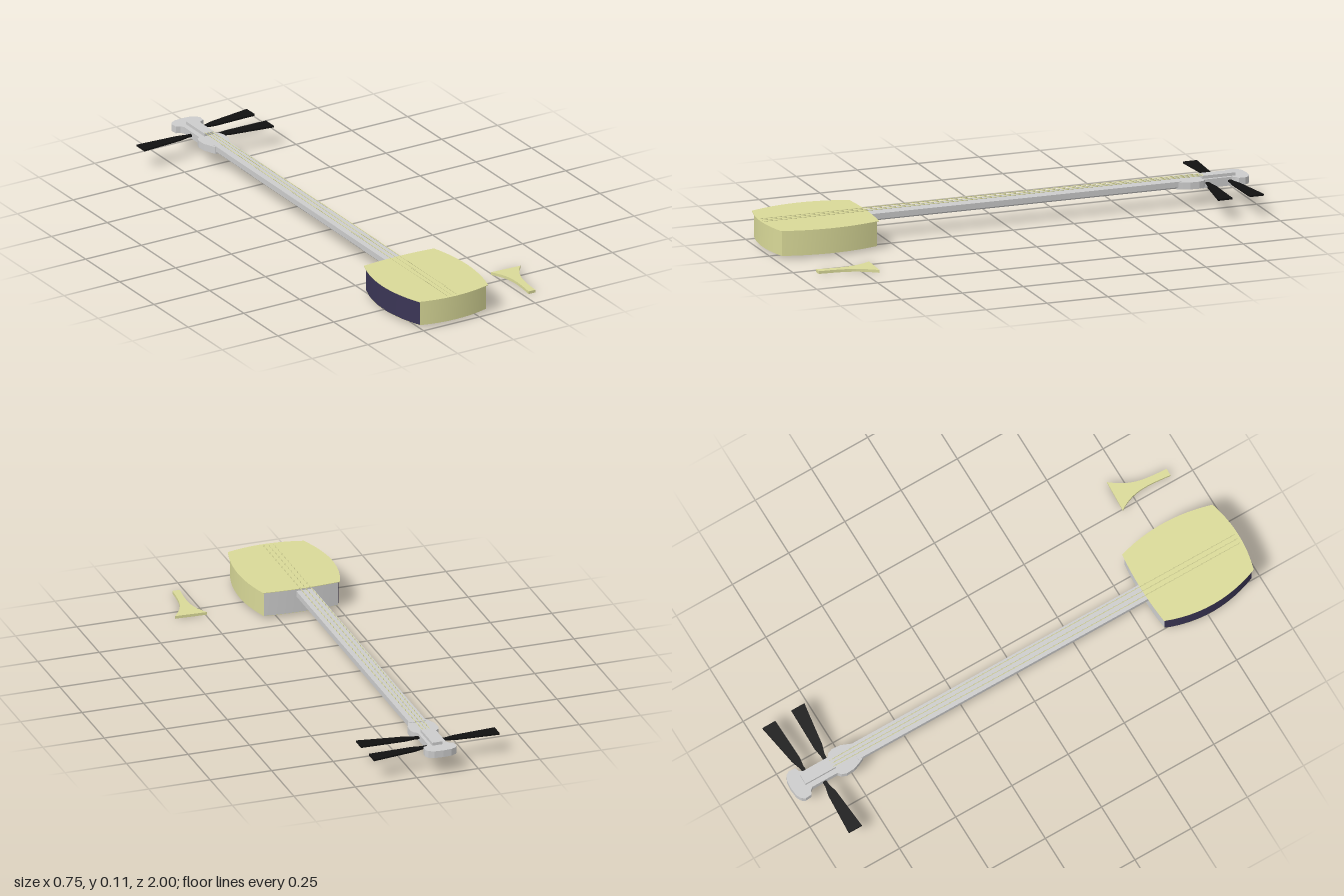
import * as THREE from 'three';

const material = (color) => new THREE.MeshStandardMaterial({ color, side: THREE.DoubleSide });
const grey = material(0xcccccc);
const khaki = material(0xd9d998);
const navy = material(0x3a3555);
const black = material(0x111111);

const CX = -0.108; // centre line of the neck

function add(group, name, geometry, mat) {
  const mesh = new THREE.Mesh(geometry, mat);
  mesh.name = name;
  group.add(mesh);
  return mesh;
}

// Plan outline in (x, z), extruded upward from y0 to y1
function slab(shape, y0, y1) {
  const geometry = new THREE.ExtrudeGeometry(shape, { depth: y1 - y0, bevelEnabled: false, curveSegments: 12 });
  return geometry.rotateX(-Math.PI / 2).translate(0, y0, 0);
}

const planShape = (points) => new THREE.Shape(points.map(([x, z]) => new THREE.Vector2(x, -z)));

// Outline of half widths [half, z], mirrored about the centre line
function mirrored(half, cx) {
  return planShape([
    ...half.map(([w, z]) => [cx + w, z]),
    ...half.slice().reverse().map(([w, z]) => [cx - w, z]),
  ]);
}

// The four bowed edges of the sound box, counterclockwise seen from above
function bodyEdges(grow) {
  const corners = [
    [-0.246 - grow, 0.967 + grow], [0.05 + grow, 0.967 + grow],
    [0.052 + grow, 0.578 - grow], [-0.25 - grow, 0.578 - grow],
  ];
  const controls = [[-0.1, 1.013 + grow], [0.112 + grow, 0.77], [-0.1, 0.56 - grow], [-0.327 - grow, 0.77]];
  const v = ([x, z]) => new THREE.Vector2(x, z);
  return corners.map((c, i) =>
    new THREE.QuadraticBezierCurve(v(c), v(controls[i]), v(corners[(i + 1) % 4])));
}

const outline = (edges) =>
  planShape(edges.flatMap((e) => e.getPoints(12).slice(0, 12).map((p) => [p.x, p.y])));

// Upright wall following one edge
function wall(curve, y0, y1) {
  const geometry = new THREE.PlaneGeometry(1, y1 - y0, 12, 1);
  const pos = geometry.attributes.position;
  for (let i = 0; i < pos.count; i++) {
    const p = curve.getPoint(pos.getX(i) + 0.5);
    pos.setXYZ(i, p.x, pos.getY(i) + (y0 + y1) / 2, p.y);
  }
  geometry.computeVertexNormals();
  return geometry;
}

function makeBody() {
  const body = new THREE.Group();
  body.name = 'soundBox';
  const edges = bodyEdges(0);
  const names = ['frontWall', 'leftWall', 'neckWall', 'rightWall'];
  const colors = [khaki, khaki, grey, navy];
  edges.forEach((edge, i) => add(body, names[i], wall(edge, 0.011, 0.11), colors[i]));
  add(body, 'backSkin', slab(outline(edges), 0.01, 0.012), khaki);
  add(body, 'frontSkin', slab(outline(bodyEdges(0.006)), 0.109, 0.111), khaki);
  return body;
}

function makeNeck() {
  const neck = new THREE.Group();
  neck.name = 'neck';

  // Shaft: squared section with softened lower corners
  const section = new THREE.Shape([
    [-0.034, 0.1], [-0.034, 0.078], [-0.028, 0.072], [0.028, 0.072], [0.034, 0.078], [0.034, 0.1],
  ].map(([x, y]) => new THREE.Vector2(x, y)));
  const shaft = new THREE.ExtrudeGeometry(section, { depth: 1.3, bevelEnabled: false });
  shaft.translate(0, 0, -0.72);
  // Slight lean sideways along the length
  const pos = shaft.attributes.position;
  for (let i = 0; i < pos.count; i++) pos.setX(i, pos.getX(i) + CX - 0.004 * pos.getZ(i));
  add(neck, 'shaft', shaft, grey);

  // Head plate: rounded shoulders, slim waist, flared crown
  const half = [
    [0.034, -0.7], [0.044, -0.722], [0.055, -0.75], [0.057, -0.785], [0.05, -0.805], [0.037, -0.815],
    [0.037, -0.925], [0.045, -0.938], [0.062, -0.945], [0.064, -0.972], [0.055, -0.987],
    [0.035, -0.997], [0, -1],
  ];
  add(neck, 'head', slab(mirrored(half, CX), 0.07, 0.098), grey);
  const block = new THREE.BoxGeometry(0.042, 0.05, 0.135);
  add(neck, 'pegBlock', block.translate(CX + 0.004, 0.085, -0.877), grey);
  return neck;
}

// Flat flared tuning peg pointing along +x or -x
function makePeg(side, zIn, zOut, length) {
  const profile = [[0, 0.007], [0.15, 0.008], [0.3, 0.017], [0.6, 0.022], [1, 0.029]];
  const at = (sign) => ([t, w]) => [side * t * length, (zOut - zIn) * t + sign * w];
  const shape = planShape([...profile.map(at(1)), ...profile.slice().reverse().map(at(-1))]);
  return slab(shape, 0.08, 0.087).translate(CX + side * 0.02, 0, zIn);
}

function makeStrings() {
  const strings = new THREE.Group();
  strings.name = 'strings';
  for (const i of [-1, 0, 1]) {
    const path = new THREE.CatmullRomCurve3([
      new THREE.Vector3(CX + i * 0.02 - 0.004, 0.112, 0.985),
      new THREE.Vector3(CX + i * 0.02, 0.112, 0),
      new THREE.Vector3(CX + i * 0.014 + 0.004, 0.109, -0.82),
    ]);
    add(strings, 'string', new THREE.TubeGeometry(path, 8, 0.0015, 5), khaki);
  }
  return strings;
}

// Fan-shaped plectrum lying beside the instrument
function makePlectrum() {
  const shape = new THREE.Shape();
  shape.moveTo(0.273, -0.915);
  shape.lineTo(0.303, -0.915);
  shape.bezierCurveTo(0.308, -0.8, 0.318, -0.76, 0.372, -0.692);
  shape.lineTo(0.244, -0.686);
  shape.bezierCurveTo(0.286, -0.75, 0.287, -0.8, 0.273, -0.915);
  return slab(shape, 0, 0.011);
}

export function createModel() {
  const model = new THREE.Group();
  model.name = 'longNeckedLute';
  model.add(makeBody(), makeNeck(), makeStrings());
  add(model, 'upperLeftPeg', makePeg(1, -0.915, -0.938, 0.25), black);
  add(model, 'lowerLeftPeg', makePeg(1, -0.827, -0.806, 0.255), black);
  add(model, 'rightPeg', makePeg(-1, -0.873, -0.871, 0.245), black);
  add(model, 'plectrum', makePlectrum(), khaki);
  return model;
}
